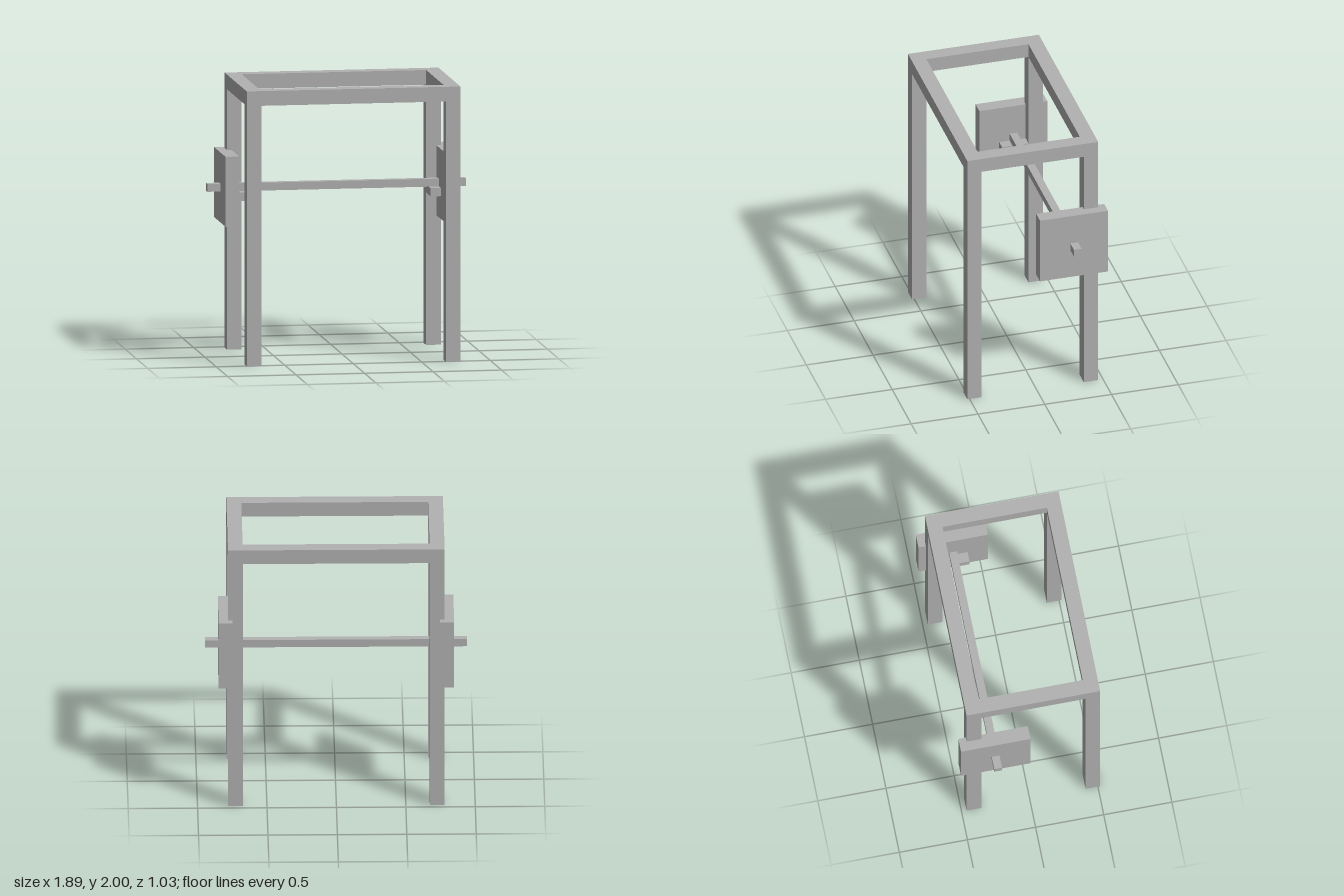
import * as THREE from 'three';

export function createModel() {
  const model = new THREE.Group();
  const grey = new THREE.MeshStandardMaterial({ color: 0xb2b2b2 });
  grey.name = 'plain grey';

  // Box given by its limits on each axis
  const addBox = (name, [x0, x1], [y0, y1], [z0, z1]) => {
    const mesh = new THREE.Mesh(new THREE.BoxGeometry(x1 - x0, y1 - y0, z1 - z0), grey);
    mesh.name = name;
    mesh.position.set((x0 + x1) / 2, (y0 + y1) / 2, (z0 + z1) / 2);
    model.add(mesh);
  };

  // Top frame: one rectangle with a rectangular opening
  const rectangle = (Type, x, z0, z1) => new Type([
    new THREE.Vector2(-x, -z1), new THREE.Vector2(x, -z1),
    new THREE.Vector2(x, -z0), new THREE.Vector2(-x, -z0),
  ]);
  const outline = rectangle(THREE.Shape, 0.78, -0.463, 0.517);
  outline.holes.push(rectangle(THREE.Path, 0.673, -0.355, 0.41));
  const frameGeometry = new THREE.ExtrudeGeometry(outline, { depth: 0.107, bevelEnabled: false });
  frameGeometry.rotateX(-Math.PI / 2);
  const frame = new THREE.Mesh(frameGeometry, grey);
  frame.name = 'topFrame';
  frame.position.y = 1.893;
  model.add(frame);

  for (const [side, s] of [['left', 1], ['right', -1]]) {
    const span = (a, b) => (s > 0 ? [a, b] : [-b, -a]);

    // Legs
    addBox(side + 'FrontLeg', span(0.673, 0.78), [0, 1.893], [0.41, 0.517]);
    addBox(side + 'BackLeg', span(0.673, 0.78), [0, 1.893], [-0.463, -0.355]);

    // Square end plate, and the bracket that carries the rod
    addBox(side + 'Plate', span(0.747, 0.848), [0.943, 1.452], [-0.517, -0.008]);
    addBox(side + 'Bracket', span(0.673, 0.78), [1.108, 1.168], [-0.355, -0.157]);
  }

  // Square rod through both plates
  addBox('rod', [-0.943, 0.943], [1.168, 1.225], [-0.292, -0.235]);

  return model;
}
